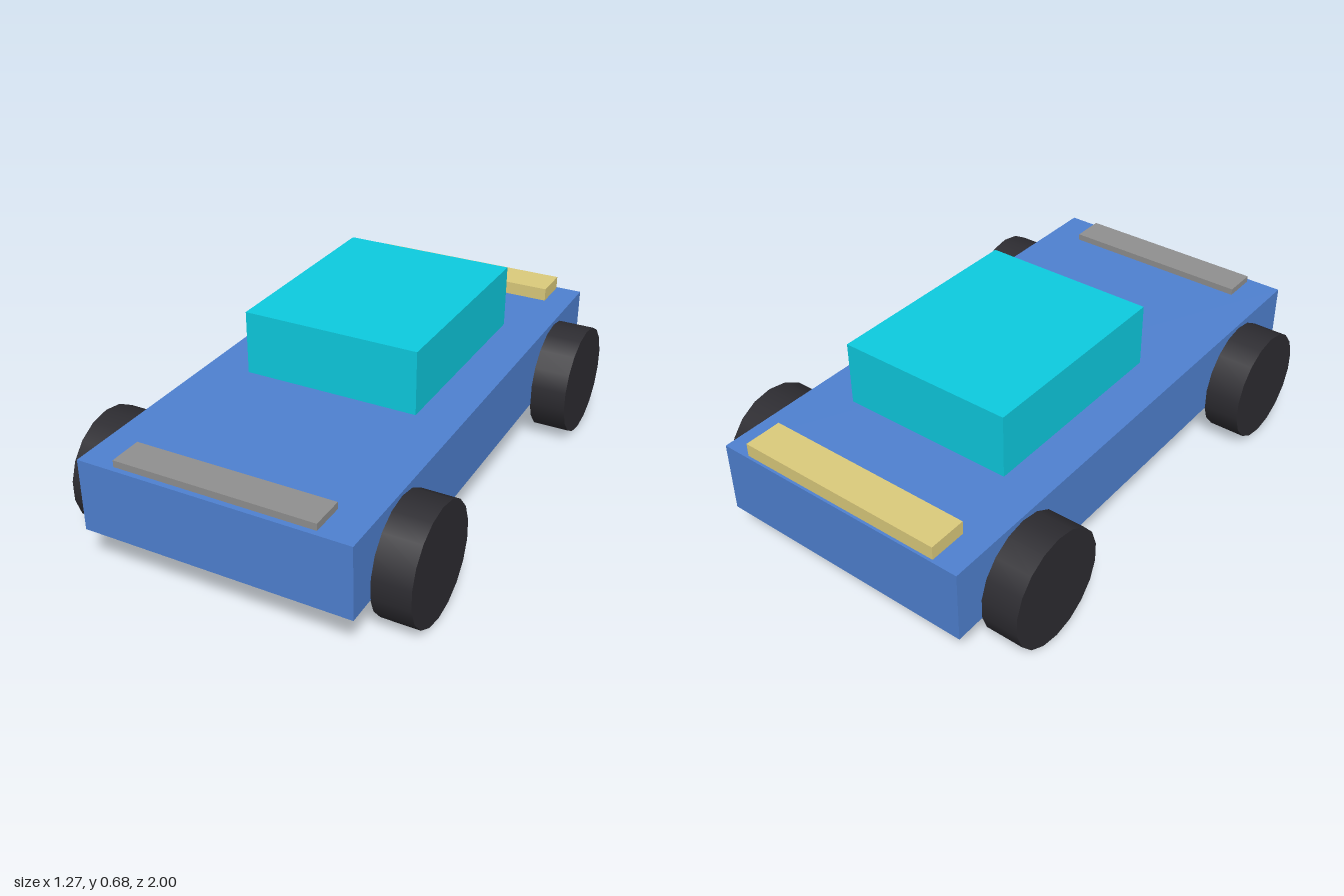
import * as THREE from 'three';

export function createModel() {
  const car = new THREE.Group();
  car.name = 'car';

  const mat = (color) => new THREE.MeshStandardMaterial({ color });

  // Box given by its half width and its y and z ranges
  function box(name, halfWidth, y0, y1, z0, z1, color) {
    const mesh = new THREE.Mesh(new THREE.BoxGeometry(halfWidth * 2, y1 - y0, z1 - z0), mat(color));
    mesh.position.set(0, (y0 + y1) / 2, (z0 + z1) / 2);
    mesh.name = name;
    car.add(mesh);
  }

  box('body', 0.5, 0.17, 0.44, -1, 1, 0x4f81d1);
  box('cabin', 0.335, 0.44, 0.68, -0.565, 0.24, 0x0dcbe0);
  box('rearSpoiler', 0.4, 0.44, 0.49, -0.99, -0.848, 0xdccb7c);
  box('frontTrim', 0.37, 0.44, 0.465, 0.853, 0.98, 0x909090);

  // Four 18-sided wheels, standing on a corner
  const radius = 0.2125;
  const wheelGeometry = new THREE.CylinderGeometry(radius, radius, 0.14, 18, 1, false, Math.PI / 2);
  wheelGeometry.rotateZ(Math.PI / 2);
  const rubber = mat(0x2d2c31);
  for (const [side, x] of [['Left', 1], ['Right', -1]]) {
    for (const [end, z] of [['front', 1], ['rear', -1]]) {
      const wheel = new THREE.Mesh(wheelGeometry, rubber);
      wheel.position.set(x * 0.567, radius, z * 0.68);
      wheel.name = `${end}${side}Wheel`;
      car.add(wheel);
    }
  }

  return car;
}
